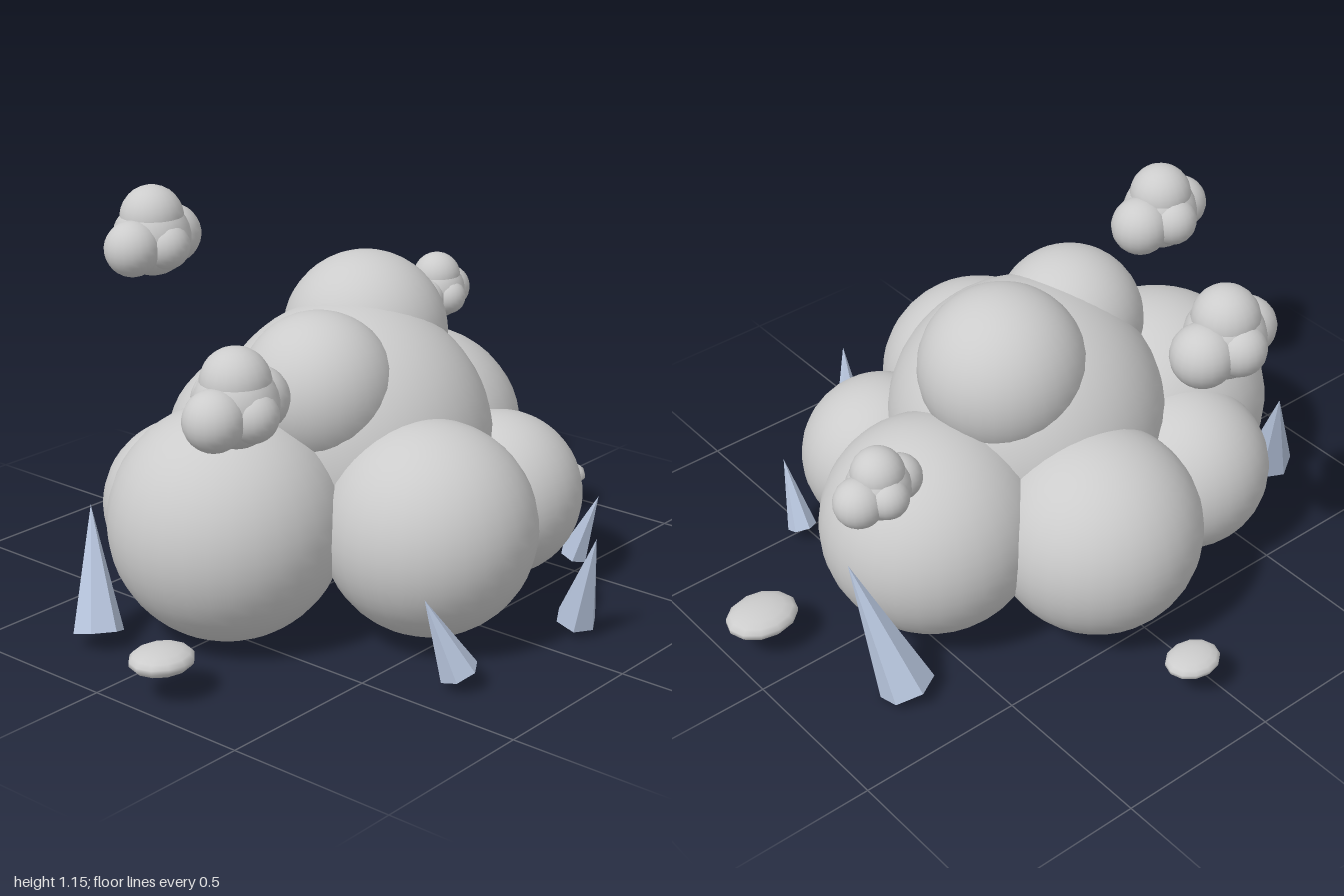
import * as THREE from 'three';

const cloudMat = new THREE.MeshStandardMaterial({ color: 0xcccccc });
cloudMat.name = 'cloud grey';
const crystalMat = new THREE.MeshStandardMaterial({ color: 0xb8c6de, flatShading: true });
crystalMat.name = 'crystal blue';

function ball(parent, name, [x, y, z, r], segments = 32) {
  const mesh = new THREE.Mesh(new THREE.SphereGeometry(r, segments, segments * 0.75), cloudMat);
  mesh.name = name;
  mesh.position.set(x, y, z);
  parent.add(mesh);
  return mesh;
}

// Six-sided cone running from its base centre to its tip
function crystal(parent, base, tip, radius) {
  const a = new THREE.Vector3(...base);
  const axis = new THREE.Vector3(...tip).sub(a);
  const length = axis.length();
  const geo = new THREE.ConeGeometry(radius, length, 6).translate(0, length / 2, 0);
  const mesh = new THREE.Mesh(geo, crystalMat);
  mesh.name = 'crystal';
  mesh.position.copy(a);
  mesh.quaternion.setFromUnitVectors(new THREE.Vector3(0, 1, 0), axis.normalize());
  parent.add(mesh);
}

// Small cloud of overlapping puffs
function smallCloud(parent, x, y, z, scale) {
  const cloud = new THREE.Group();
  cloud.name = 'smallCloud';
  [
    [0, 0, 0, 0.115],
    [0, 0.06, 0, 0.095],
    [-0.1, -0.015, 0, 0.083],
    [0.095, -0.01, 0, 0.09],
    [-0.02, -0.015, 0.065, 0.07],
    [0.02, 0, -0.065, 0.075],
  ].forEach((p) => ball(cloud, 'smallPuff', p, 20));
  cloud.position.set(x, y, z);
  cloud.rotation.y = 0.16;
  cloud.scale.setScalar(scale);
  parent.add(cloud);
}

export function createModel() {
  const model = new THREE.Group();
  model.name = 'cloudCluster';

  // Main cloud: core, ring of lower puffs, two upper puffs
  const main = new THREE.Group();
  main.name = 'mainCloud';
  ball(main, 'core', [-0.01, 0.47, 0.05, 0.41], 40);
  ball(main, 'rightPuff', [-0.485, 0.342, 0, 0.335]);
  ball(main, 'leftPuff', [0.43, 0.355, -0.055, 0.32]);
  ball(main, 'frontPuff', [-0.145, 0.333, 0.445, 0.303]);
  ball(main, 'backPuff', [0.065, 0.33, -0.355, 0.306]);
  ball(main, 'frontLeftPuff', [0.295, 0.287, 0.36, 0.245]);
  ball(main, 'backRightPuff', [-0.36, 0.29, -0.27, 0.25]);
  ball(main, 'upperLeftPuff', [0.135, 0.742, -0.02, 0.243]);
  ball(main, 'upperRightPuff', [-0.225, 0.685, 0.11, 0.22]);
  model.add(main);

  // Floating small clouds
  smallCloud(model, -0.71, 0.795, 0.25, 1);
  smallCloud(model, -0.185, 1.0, -0.57, 1);
  smallCloud(model, 0.705, 0.715, -0.2, 0.78);

  // Leaning crystals around the base
  [
    [[0.695, 0.035, -0.275], [0.772, 0.43, -0.13], 0.082],
    [[-0.795, 0.05, -0.205], [-0.715, 0.38, -0.305], 0.072],
    [[-0.355, 0.053, 0.715], [-0.425, 0.267, 0.65], 0.057],
    [[0.14, 0.047, 0.75], [0.1, 0.325, 0.835], 0.06],
    [[0.53, 0.047, 0.475], [0.525, 0.255, 0.558], 0.044],
  ].forEach(([base, tip, r]) => crystal(model, base, tip, r));

  // Flat floating pebbles
  [
    [-0.905, 0.118, 0.152, 0.095, 0.036, 0.085],
    [0.89, 0.118, 0.152, 0.11, 0.038, 0.09],
    [0.067, 0.118, -0.77, 0.085, 0.03, 0.07],
  ].forEach(([x, y, z, rx, ry, rz]) => {
    ball(model, 'pebble', [x, y, z, 1], 12).scale.set(rx, ry, rz);
  });

  return model;
}
